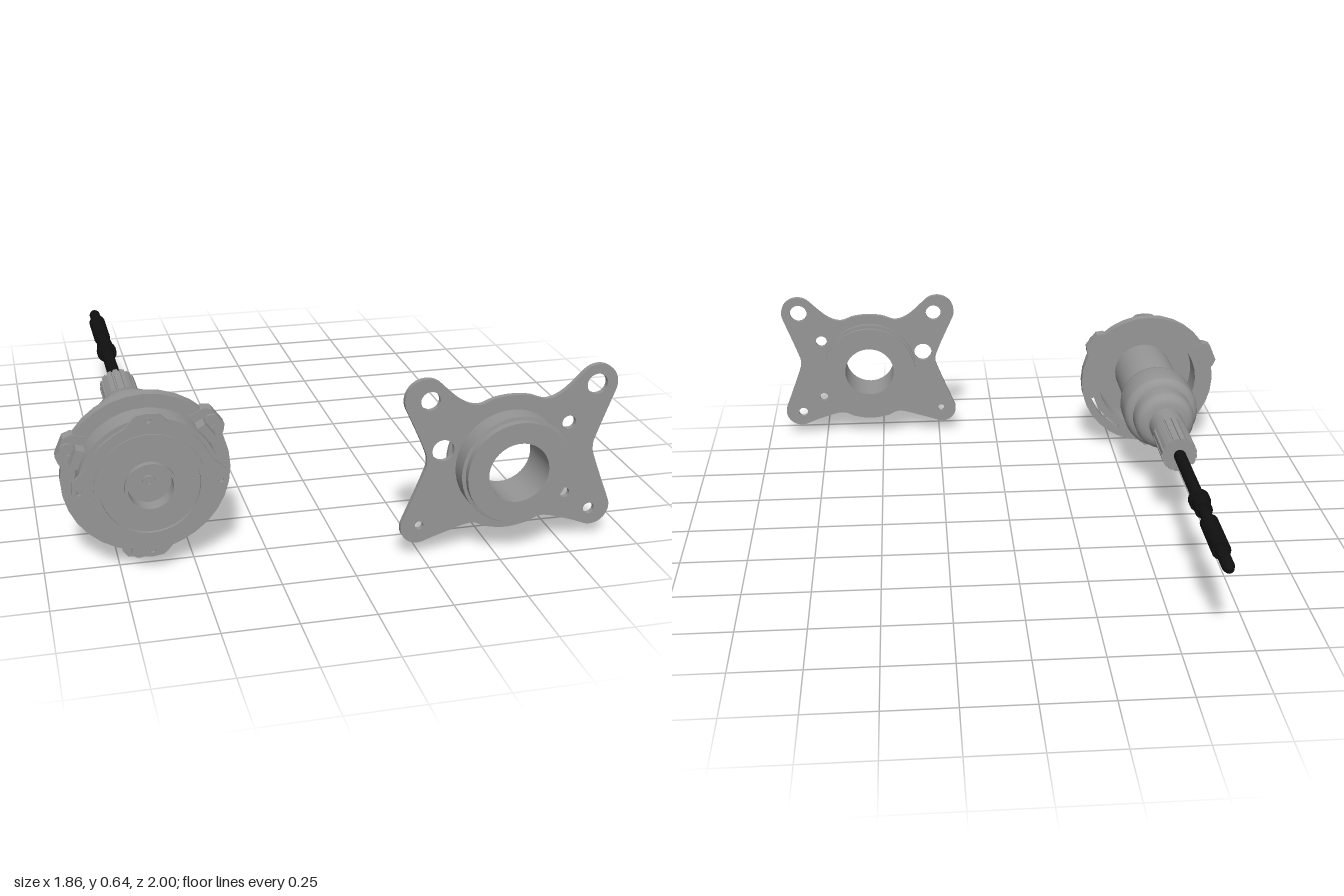
import * as THREE from 'three';
import { mergeVertices, toCreasedNormals } from 'three/addons/utils/BufferGeometryUtils.js';

const steel = new THREE.MeshStandardMaterial({ color: 0x969696 });
steel.name = 'steel grey';
const black = new THREE.MeshStandardMaterial({ color: 0x101010 });
black.name = 'black';
const rad = THREE.MathUtils.degToRad;

function add(parent, name, geometry, material = steel) {
  const mesh = new THREE.Mesh(geometry, material);
  mesh.name = name;
  parent.add(mesh);
  return mesh;
}

// Turned part around the z axis; profile points are [radius, z].
function turned(profile, segments = 40) {
  const g = new THREE.LatheGeometry(profile.map(p => new THREE.Vector2(...p)), segments);
  g.rotateX(Math.PI / 2);
  return toCreasedNormals(g, rad(35));
}

function slab(shape, z0, z1, curveSegments = 16) {
  const g = new THREE.ExtrudeGeometry(shape, { depth: z1 - z0, bevelEnabled: false, curveSegments });
  g.translate(0, 0, z0);
  return toCreasedNormals(g, rad(30));
}

function hole(shape, x, y, r) {
  shape.holes.push(new THREE.Path().absarc(x, y, r, 0, Math.PI * 2, true));
}

const polar = (r, deg) => new THREE.Vector2(r * Math.cos(rad(deg)), r * Math.sin(rad(deg)));

function createSpindle() {
  const g = new THREE.Group();
  g.name = 'spindle';
  g.position.set(-0.645, 0.307, 0);

  // Rear flange with a narrow curved slot
  const flange = new THREE.Shape().absarc(0, 0, 0.283, 0, Math.PI * 2, false);
  hole(flange, 0, 0, 0.21);
  const slot = new THREE.Path();
  slot.absarc(0, 0, 0.252, rad(-62), rad(-18), false);
  slot.absarc(0, 0, 0.24, rad(-18), rad(-62), true);
  flange.holes.push(slot);
  add(g, 'flange', slab(flange, 0.67, 0.71));

  // Drum, open at the rear, with a recessed front and a hollow hub
  add(g, 'drum', turned([
    [0.12, 0.78], [0.21, 0.78], [0.21, 0.67], [0.235, 0.67], [0.235, 0.8], [0.185, 0.8],
    [0.185, 0.817], [0.165, 0.817], [0.165, 0.805], [0.085, 0.805], [0.085, 0.825],
    [0.075, 0.825], [0.075, 0.77], [0, 0.77],
  ]));
  add(g, 'hubPin', turned([[0.022, 0.76], [0.022, 0.78], [0.008, 0.78], [0.008, 0.772], [0, 0.772]], 20));

  // Thin front plate with four drilled ears
  const plate = new THREE.Shape();
  const outline = [];
  for (let k = 0; k < 4; k++) {
    for (const [r, a] of [[0.253, -8], [0.255, 0], [0.253, 8], [0.243, 12], [0.222, 20],
      [0.22, 32], [0.22, 45], [0.22, 58], [0.222, 70], [0.243, 78]]) {
      outline.push(polar(r, a + k * 90));
    }
  }
  plate.setFromPoints(outline);
  hole(plate, 0, 0, 0.185);
  for (let k = 0; k < 4; k++) {
    const p = polar(0.232, k * 90);
    hole(plate, p.x, p.y, 0.01);
  }
  add(g, 'frontPlate', slab(plate, 0.8, 0.812));

  // Three bolted lugs on the rim
  for (const a of [37, 157, 263]) {
    const lug = new THREE.Group();
    lug.name = 'rimLug';
    lug.rotation.z = rad(a);
    const s = new THREE.Shape([[0.236, -0.065], [0.285, -0.055], [0.305, -0.035], [0.305, 0.035],
      [0.285, 0.055], [0.236, 0.065]].map(p => new THREE.Vector2(...p)));
    add(lug, 'lugPad', slab(s, 0.668, 0.714));
    const boss = new THREE.Shape([[0.22, -0.035], [0.262, -0.03], [0.262, 0.03], [0.22, 0.035]]
      .map(p => new THREE.Vector2(...p)));
    add(lug, 'lugBoss', slab(boss, 0.71, 0.765));
    const bolt = turned([[0, 0.70], [0.028, 0.70], [0.028, 0.724], [0.014, 0.724], [0.014, 0.718], [0, 0.718]], 16);
    bolt.translate(0.277, 0, 0);
    add(lug, 'lugBolt', bolt);
    g.add(lug);
  }

  // Stepped, rounded housing
  add(g, 'housing', turned([
    [0, 0.195], [0.085, 0.195], [0.105, 0.203], [0.117, 0.22], [0.12, 0.24], [0.12, 0.29],
    [0.135, 0.294], [0.147, 0.308], [0.15, 0.325], [0.15, 0.435], [0.147, 0.45], [0.135, 0.462],
    [0.112, 0.466], [0.112, 0.487], [0.119, 0.497], [0.122, 0.51], [0.122, 0.785],
  ]));

  // Sleeve with splined rear end
  add(g, 'sleeve', turned([[0, 0.1], [0.068, 0.1], [0.068, 0.2]], 32));
  const teeth = [];
  for (let k = 0; k < 16; k++) {
    for (const [r, a] of [[0.068, 0], [0.068, 8], [0.068, 15], [0.062, 16], [0.062, 21.5]]) {
      teeth.push(polar(r, k * 22.5 + a));
    }
  }
  add(g, 'splinedEnd', slab(new THREE.Shape(teeth), -0.1, 0.1));

  // Black rod with collars and a tapered tip
  add(g, 'rod', turned([
    [0, -1], [0.008, -0.998], [0.016, -0.985], [0.022, -0.965], [0.022, -0.86], [0.033, -0.86],
    [0.033, -0.655], [0.022, -0.655], [0.022, -0.565], [0.032, -0.565], [0.032, -0.5],
    [0.039, -0.5], [0.039, -0.47], [0.022, -0.465], [0.022, -0.09],
  ], 20), black);
  // Fine rings along the rod
  for (let z = -0.44; z < -0.1; z += 0.02) {
    add(g, 'rodRing', turned([[0.021, z], [0.024, z + 0.004], [0.024, z + 0.009], [0.021, z + 0.013]], 14), black);
  }
  return g;
}

function createBracket() {
  const g = new THREE.Group();
  g.name = 'bracket';
  const pts = list => list.map(p => new THREE.Vector2(...p));

  // Four-armed plate
  const s = new THREE.Shape();
  s.absarc(0.235, 0.11, 0.06, rad(160), rad(295), false);
  s.splineThru(pts([[0.32, 0.075], [0.42, 0.103], [0.48, 0.083], [0.55, 0.073], [0.62, 0.083],
    [0.68, 0.103], [0.77, 0.08], [0.833, 0.056]]));
  s.absarc(0.86, 0.115, 0.065, rad(245), rad(380), false);
  s.splineThru(pts([[0.862, 0.29], [0.848, 0.345], [0.862, 0.4], [0.916, 0.546]]));
  s.absarc(0.85, 0.57, 0.07, rad(340), rad(490), false);
  s.splineThru(pts([[0.73, 0.555], [0.67, 0.532], [0.61, 0.55], [0.55, 0.556], [0.49, 0.55],
    [0.43, 0.532], [0.37, 0.555], [0.297, 0.621]]));
  s.absarc(0.25, 0.565, 0.073, rad(50), rad(200), false);
  s.splineThru(pts([[0.245, 0.4], [0.26, 0.345], [0.245, 0.29], [0.179, 0.131]]));
  for (const [x, y, r] of [[0.265, 0.56, 0.033], [0.847, 0.57, 0.036], [0.24, 0.113, 0.015],
    [0.851, 0.11, 0.02], [0.315, 0.38, 0.038], [0.755, 0.44, 0.024], [0.757, 0.18, 0.018],
    [0.55, 0.315, 0.15]]) hole(s, x, y, r);
  add(g, 'armPlate', slab(s, 0.893, 0.911));

  // Bored hub passing through the plate
  const hub = add(g, 'hub', turned([
    [0.105, 0.835], [0.197, 0.835], [0.197, 0.846], [0.185, 0.846], [0.185, 0.88], [0.2, 0.88],
    [0.2, 0.893], [0.19, 0.9], [0.19, 0.975], [0.178, 0.977], [0.178, 1], [0.105, 1], [0.105, 0.835],
  ], 48));
  hub.position.set(0.55, 0.315, 0);

  // Small raised boss by the lower arm
  const boss = add(g, 'smallBoss', turned([[0, 0.89], [0.028, 0.89], [0.028, 0.915], [0, 0.915]], 20));
  boss.position.set(0.702, 0.14, 0);
  return g;
}

export function createModel() {
  const model = new THREE.Group();
  model.name = 'hubAssembly';
  model.add(createSpindle(), createBracket());
  return model;
}
